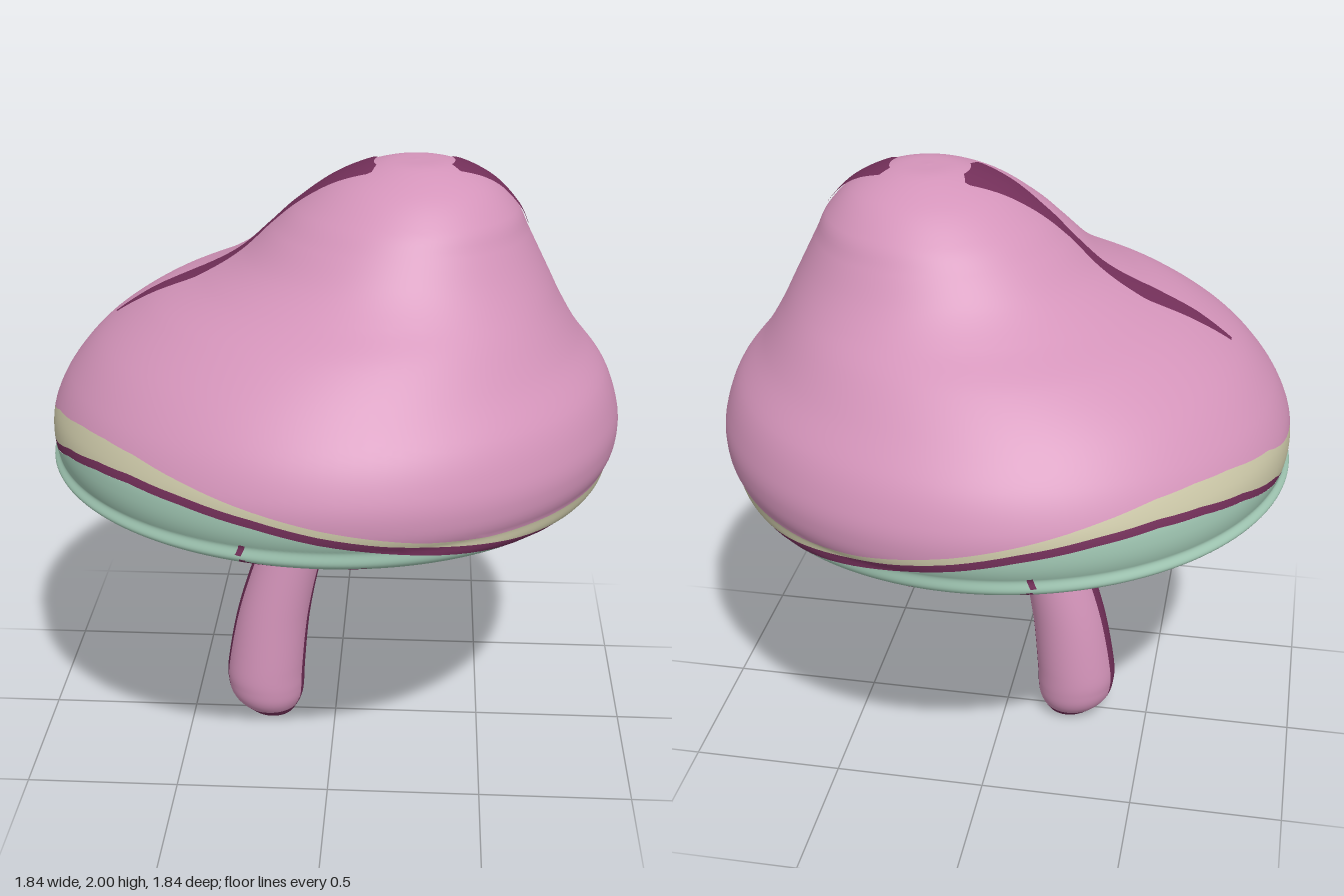
import * as THREE from 'three';

const paint = (name, color) => {
  const m = new THREE.MeshStandardMaterial({ color });
  m.name = name;
  return m;
};

// Piecewise linear lookup in a list of [x, value]
const lookup = (table, x) => {
  let i = 1;
  while (i < table.length - 1 && x > table[i][0]) i++;
  const [x0, a] = table[i - 1], [x1, b] = table[i];
  return a + (b - a) * THREE.MathUtils.clamp((x - x0) / (x1 - x0), 0, 1);
};

// Finds t where the falling function f reaches a value
const solve = (f, value, lo, hi) => {
  for (let i = 0; i < 30; i++) {
    const mid = (lo + hi) / 2;
    if (f(mid) > value) lo = mid; else hi = mid;
  }
  return lo;
};

const spline = (points) => {
  const curve = new THREE.CatmullRomCurve3(points, false, 'catmullrom', 0.5);
  const last = points.length - 1;
  return (t) => curve.getPoint(THREE.MathUtils.clamp(t / last, 0, 1));
};

// Cap stations from peak to underside: left x, left y, right x, right y
const CAP = [
  [0.25, 2, 0.25, 2], [0.14, 1.992, 0.37, 1.992], [0, 1.94, 0.49, 1.94],
  [-0.12, 1.86, 0.57, 1.86], [-0.2, 1.79, 0.605, 1.79], [-0.3, 1.7, 0.65, 1.7],
  [-0.42, 1.63, 0.685, 1.63], [-0.6, 1.55, 0.725, 1.55], [-0.75, 1.45, 0.785, 1.45],
  [-0.85, 1.34, 0.87, 1.34], [-0.905, 1.24, 0.91, 1.24], [-0.92, 1.16, 0.92, 1.16],
  [-0.91, 1.09, 0.9, 1.08], [-0.88, 1.035, 0.82, 0.985], [-0.42, 0.99, 0.42, 0.93],
  [-0.13, 0.95, 0.2, 0.905], [0.04, 0.887, 0.04, 0.887],
];
const capLeft = spline(CAP.map((s) => new THREE.Vector3(s[0], s[1], 0)));
const capRight = spline(CAP.map((s) => new THREE.Vector3(s[2], s[3], 0)));
const cap = (a, t) => {
  const l = capLeft(t), r = capRight(t), c = Math.cos(a), radius = (r.x - l.x) / 2;
  return new THREE.Vector3((l.x + r.x) / 2 + radius * c,
    l.y + (r.y - l.y) * (1 + c) / 2, radius * Math.sin(a));
};

// Stem stations from top to foot: centre x, y, radius
const STEM = [
  [-0.04, 1, 0.095], [-0.06, 0.92, 0.097], [-0.1, 0.8, 0.103], [-0.165, 0.6, 0.115],
  [-0.215, 0.4, 0.126], [-0.243, 0.2, 0.135], [-0.245, 0.12, 0.133], [-0.24, 0.07, 0.122],
  [-0.23, 0.03, 0.095], [-0.22, 0, 0.06], [-0.22, 0, 0],
];
const stemLine = spline(STEM.map((s) => new THREE.Vector3(...s)));
const stem = (a, t) => {
  const s = stemLine(t);
  return new THREE.Vector3(s.x + s.z * Math.cos(a), Math.max(0, s.y), s.z * Math.sin(a));
};

// Patch of a surface; map turns (u, v) into (angle, station), pick chooses a material per cell
function patch(name, surface, tMax, nu, nv, map, materials, pick = () => 0, lift = 0) {
  const pos = [], nor = [], e = 1e-3;
  for (let j = 0; j <= nv; j++) for (let i = 0; i <= nu; i++) {
    const [a, t] = map(i / nu, j / nv);
    const s = THREE.MathUtils.clamp(t, 0.02, tMax - 0.02);
    const da = surface(a + e, s).sub(surface(a - e, s));
    const n = da.cross(surface(a, s + e).sub(surface(a, s - e))).normalize();
    pos.push(...surface(a, t).addScaledVector(n, lift));
    nor.push(...n);
  }
  const cells = materials.map(() => []);
  for (let j = 0; j < nv; j++) for (let i = 0; i < nu; i++) {
    const a = j * (nu + 1) + i, b = a + 1, c = a + nu + 1, d = c + 1;
    const [ang, t] = map((i + 0.5) / nu, (j + 0.5) / nv);
    cells[pick(surface(ang, t), ang)].push(a, b, c, b, d, c);
  }
  const geo = new THREE.BufferGeometry();
  geo.setAttribute('position', new THREE.Float32BufferAttribute(pos, 3));
  geo.setAttribute('normal', new THREE.Float32BufferAttribute(nor, 3));
  geo.setIndex(cells.flat());
  let start = 0;
  cells.forEach((c, k) => { geo.addGroup(start, c.length, k); start += c.length; });
  const mesh = new THREE.Mesh(geo, materials.length > 1 ? materials : materials[0]);
  mesh.name = name;
  return mesh;
}

// Rim heights by cosine of the angle around the cap
const CREAM_TOP = [[-1, 1.2], [-0.95, 1.25], [-0.85, 1.28], [-0.75, 1.288], [-0.62, 1.282],
  [-0.44, 1.25], [0, 1.16], [0.33, 1.1], [0.55, 1.075], [1, 1.065]];
const RIM_LINE = [[-1, 1.09], [-0.96, 1.13], [-0.87, 1.18], [-0.75, 1.207], [-0.62, 1.215],
  [-0.44, 1.2], [-0.2, 1.165], [0, 1.125], [0.2, 1.09], [0.44, 1.055], [0.65, 1.025], [0.87, 1], [1, 0.995]];
const rimAt = (a, y) => solve((t) => cap(a, t).y, y, 8, 13.1);
const creamTop = (a) => rimAt(a, lookup(CREAM_TOP, Math.cos(a)));
const lineEdge = (side) => (a) => {
  const c = Math.cos(a), half = c < -0.97 ? 0.004 : 0.013;
  return rimAt(a, lookup(RIM_LINE, c) + side * half);
};
const band = (from, to) => (u, v) => {
  const a = u * Math.PI * 2, t0 = from(a);
  return [a, t0 + (to(a) - t0) * v];
};

// Underside markings: 0 mint, 1 charcoal, 2 plum, 3 pink
function underside(p, a) {
  const { x, z } = p, r = Math.hypot(x, z), d = Math.abs(z);
  const off = Math.abs(x + 0.13 - 0.08 * (d / 0.85) ** 3), half = 0.05 + 0.08 * d;
  if (d > 0.15 && d < 0.85 && off < half) return 3;
  if (d < 0.88 && off < half + 0.07) return 2;
  if (((x - 0.07) / 0.19) ** 2 + (z / 0.42) ** 2 < 1) return 2;
  if (d < 0.45 && Math.abs(x + 0.7) < 0.05 + 0.025 * Math.sin(z * 22)) return 2;
  if (x > 0.64 && d < 0.16 - (x - 0.64) * 0.5) return 2;
  if (x > 0.35 && x < 0.6 && Math.abs(r - 0.81) < 0.04) return 2;
  const b = Math.abs(a - Math.PI);
  const edge = 0.68 + 0.1 * Math.sin(9 * b) + 0.07 * Math.sin(17 * b + 1);
  return r > edge ? 0 : 1;
}

export function createModel() {
  const pink = paint('pink', 0xd494ba), cream = paint('cream', 0xccc8a8);
  const mint = paint('mint', 0xa2c9b5), plum = paint('plum', 0x74305a);
  const charcoal = paint('charcoal', 0x45434c);
  const model = new THREE.Group();
  model.name = 'mushroom';
  const capEnd = CAP.length - 1, stemEnd = STEM.length - 1;
  const top = lineEdge(1), bottom = lineEdge(-1);

  // Cap, from the peak down to the underside
  model.add(
    patch('capDome', cap, capEnd, 120, 60, band(() => 0, creamTop), [pink]),
    patch('creamRim', cap, capEnd, 120, 6, band(creamTop, top), [cream]),
    patch('rimLine', cap, capEnd, 120, 2, band(top, bottom), [plum]),
    patch('capUnderside', cap, capEnd, 300, 100, band(bottom, () => capEnd),
      [mint, charcoal, plum, pink], underside),
  );

  // Tapering streaks over the dome: x along the streak, half width
  const streak = (name, angle, edge, sign, widths) => {
    const x0 = widths[0][0], x1 = widths[widths.length - 1][0];
    const map = (u, v) => {
      const x = sign > 0 ? x0 + (x1 - x0) * v : x1 + (x0 - x1) * v;
      const t = solve((s) => -sign * edge(s).x, -sign * x, 0, 10);
      const radius = (capRight(t).x - capLeft(t).x) / 2;
      return [angle + Math.asin(Math.min(0.9, lookup(widths, x) / radius)) * (2 * u - 1), t];
    };
    model.add(patch(name, cap, capEnd, 12, 50, map, [plum], undefined, 0.005));
  };
  streak('longStreak', Math.PI, capLeft, -1, [[-0.71, 0.01], [-0.6, 0.035], [-0.45, 0.055],
    [-0.3, 0.03], [-0.2, 0.02], [-0.1, 0.04], [0, 0.075], [0.08, 0.105], [0.12, 0.05]]);
  streak('shortStreak', 0, capRight, 1, [[0.37, 0.05], [0.41, 0.085], [0.46, 0.055],
    [0.52, 0.028], [0.6, 0.012]]);

  // Stem with a plum stripe on each side and a plum ring at the foot
  const stemColour = (p, a) => {
    if (p.y < 0.002) return 0;
    if (p.y < 0.035) return 1;
    const half = 0.3 + 0.3 * Math.max(0, 1 - p.y / 0.08);
    return Math.abs(Math.sin(a)) < Math.sin(half) ? 1 : 0;
  };
  model.add(patch('stem', stem, stemEnd, 96, 80,
    (u, v) => [u * Math.PI * 2, v * stemEnd], [pink, plum], stemColour));
  return model;
}
